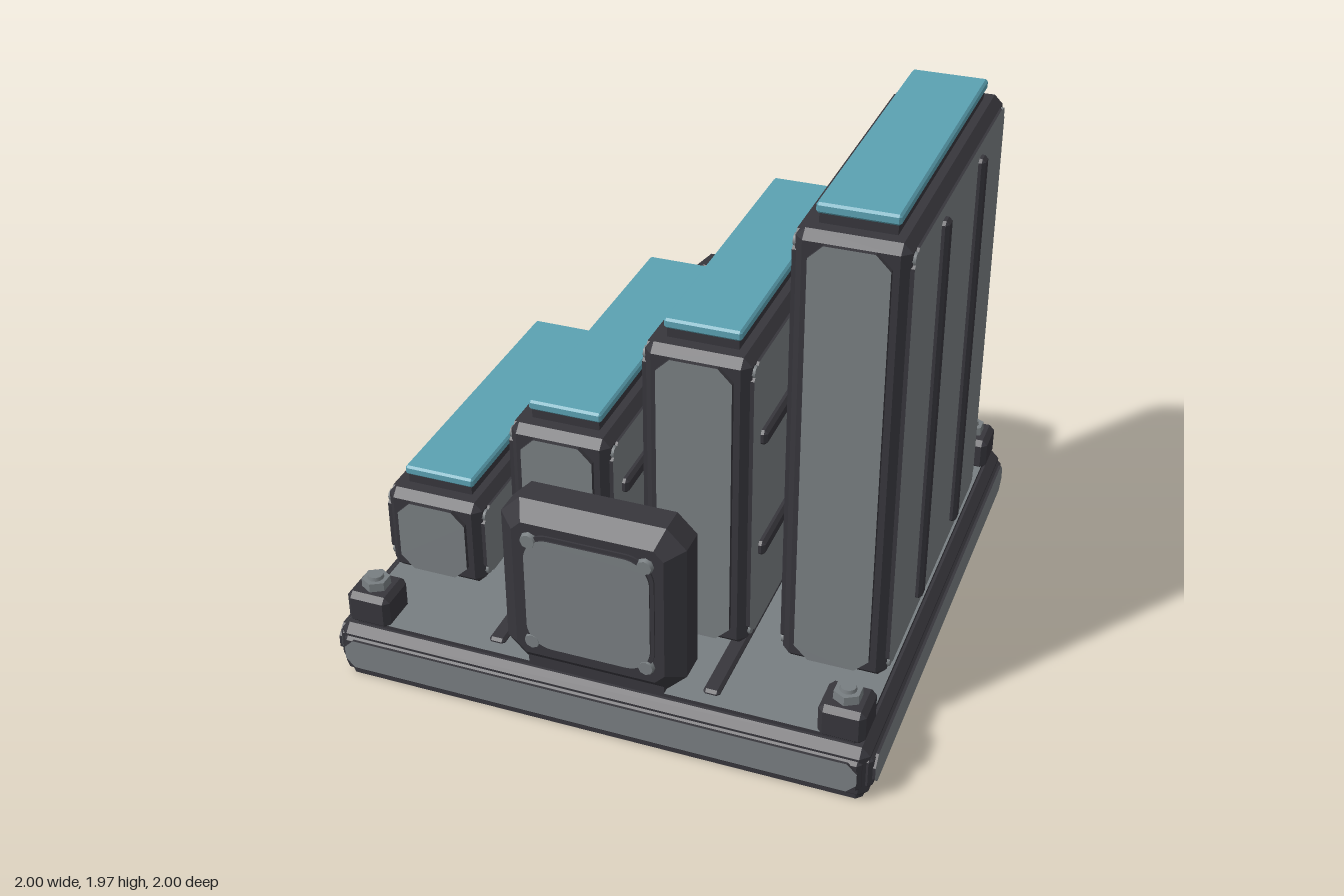
import * as THREE from 'three';
import { ConvexGeometry } from 'three/addons/geometries/ConvexGeometry.js';

const mat = (name, color) => Object.assign(new THREE.MeshStandardMaterial({ color }), { name });

export function createModel() {
  const dark = mat('dark frame', 0x37363c);
  const gray = mat('gray panel', 0x787e81);
  const teal = mat('teal cap', 0x5ba1b2);
  const model = new THREE.Group();
  model.name = 'steppedColumnMachine';

  function add(parent, name, geometry, material, x = 0, y = 0, z = 0) {
    const mesh = new THREE.Mesh(geometry, material);
    mesh.name = name;
    mesh.position.set(x, y, z);
    parent.add(mesh);
    return mesh;
  }

  function group(parent, name) {
    const g = new THREE.Group();
    g.name = name;
    parent.add(g);
    return g;
  }

  // Box with every edge cut at 45 degrees
  function chamferBox(w, h, d, c) {
    const pts = [];
    for (const sx of [-1, 1]) for (const sy of [-1, 1]) for (const sz of [-1, 1]) {
      const x = w / 2, y = h / 2, z = d / 2;
      pts.push(
        new THREE.Vector3(sx * x, sy * (y - c), sz * (z - c)),
        new THREE.Vector3(sx * (x - c), sy * y, sz * (z - c)),
        new THREE.Vector3(sx * (x - c), sy * (y - c), sz * z));
    }
    return new ConvexGeometry(pts);
  }

  // Corners of a rectangle with cut corners
  function octagon(w, h, c) {
    const x = w / 2, y = h / 2;
    return [[x - c, -y], [x, c - y], [x, y - c], [x - c, y],
      [c - x, y], [-x, y - c], [-x, c - y], [c - x, -y]].map(p => new THREE.Vector2(...p));
  }

  // Plate facing +z with cut corners, rising from z = 0
  const plate = (w, h, c, t) => new THREE.ExtrudeGeometry(
    new THREE.Shape(octagon(w, h, c)), { depth: t, bevelEnabled: false });
  const framed = [gray, dark];

  // ---- Base ----
  const base = group(model, 'base');
  add(base, 'baseFrame', chamferBox(1.96, 0.21, 1.96, 0.03), dark, 0, 0.113, 0);
  add(base, 'topPlate', plate(1.88, 1.88, 0.02, 0.025), framed, 0, 0.207, 0).rotation.x = -Math.PI / 2;
  add(base, 'bottomPlate', plate(1.92, 1.92, 0.02, 0.02), framed, 0, 0.02, 0).rotation.x = Math.PI / 2;
  for (let i = 0; i < 4; i++) {
    const side = group(base, 'baseSide');
    side.rotation.y = i * Math.PI / 2;
    add(side, 'sideTrim', chamferBox(1.92, 0.13, 0.05, 0.015), dark, 0, 0.117, 0.967);
    add(side, 'sidePanel', plate(1.9, 0.118, 0.035, 0.01), framed, 0, 0.117, 0.99);
  }
  for (const x of [-0.4, 0.4])
    add(base, 'deckStrip', chamferBox(0.06, 0.03, 1.78, 0.01), dark, x, 0.232, 0);

  // Corner blocks with hexagonal bolts
  for (const x of [-0.873, 0.873]) for (const z of [-0.87, 0.87]) {
    const corner = group(base, 'cornerBlock');
    corner.position.set(x, 0, z);
    add(corner, 'block', chamferBox(0.165, 0.13, 0.165, 0.02), dark, 0, 0.283, 0);
    const hex = new THREE.CylinderGeometry(0.05, 0.052, 0.035, 6).toNonIndexed();
    hex.computeVertexNormals();
    add(corner, 'boltHead', hex, gray, 0, 0.363, 0);
    add(corner, 'boltTip', new THREE.CylinderGeometry(0.027, 0.03, 0.014, 12), gray, 0, 0.387, 0);
  }

  // ---- Columns ----
  function column(x, top, ribs, vertical) {
    const g = group(model, 'column');
    g.position.x = x;
    const h = top - 0.25, mid = (top + 0.25) / 2;
    add(g, 'columnFoot', new THREE.BoxGeometry(0.27, 0.05, 1.16), dark, 0, 0.24, 0);
    add(g, 'columnFrame', chamferBox(0.37, h, 1.28, 0.03), dark, 0, mid, 0);
    add(g, 'columnNeck', new THREE.BoxGeometry(0.25, 0.05, 1.13), dark, 0, top + 0.015, 0);
    add(g, 'columnCap', chamferBox(0.27, 0.037, 1.15, 0.008), teal, 0, top + 0.052, 0);
    for (const s of [-1, 1]) {
      // End panel
      const end = group(g, 'columnEnd');
      end.rotation.y = s > 0 ? 0 : Math.PI;
      add(end, 'endPanel', plate(0.265, h - 0.06, 0.05, 0.025), framed, 0, mid, 0.632);
      // Broad side panel with rivets and ribs
      const side = group(g, 'columnSide');
      side.rotation.y = s * Math.PI / 2;
      add(side, 'broadPanel', plate(1.23, h - 0.06, 0.05, 0.02), framed, 0, mid, 0.174);
      for (const u of [-1, 1]) for (const v of [-1, 1]) {
        const rivet = add(side, 'rivet', new THREE.CylinderGeometry(0.022, 0.025, 0.014, 8),
          gray, u * 0.588, mid + v * (h / 2 - 0.057), 0.187);
        rivet.rotation.x = Math.PI / 2;
      }
      for (const r of ribs) {
        const size = vertical ? [0.06, h - 0.17] : [1.08, 0.056];
        add(side, 'rib', chamferBox(...size, 0.04, 0.012), dark,
          vertical ? r : 0, vertical ? mid + 0.008 : r, 0.197);
      }
    }
  }
  column(-0.755, 0.595, [], false);
  column(-0.25, 0.98, [0.48, 0.75], false);
  column(0.25, 1.4, [0.61, 1.06], false);
  column(0.75, 1.9, [-0.25, 0.25], true);

  // ---- Housings at front and back ----
  const shell = new ConvexGeometry(
    [[0.74, 0.22, 0.04], [0.83, 0.33, 0.07], [0.93, 0.33, 0.07], [0.985, 0.27, 0.035]]
      .flatMap(([z, r, c]) => octagon(r * 2, r * 2, c).map(p => new THREE.Vector3(p.x, p.y, z))));

  // Rounded square face
  function roundedSquare(r, k) {
    const s = new THREE.Shape();
    s.absarc(r - k, r - k, k, 0, Math.PI / 2);
    s.absarc(k - r, r - k, k, Math.PI / 2, Math.PI);
    s.absarc(k - r, k - r, k, Math.PI, Math.PI * 1.5);
    s.absarc(r - k, k - r, k, Math.PI * 1.5, Math.PI * 2);
    return s;
  }
  const facePlate = (r, k, t) => new THREE.ExtrudeGeometry(roundedSquare(r, k),
    { depth: t, bevelEnabled: false, curveSegments: 8 });

  for (const turn of [0, Math.PI]) {
    const housing = group(model, turn ? 'backHousing' : 'frontHousing');
    housing.position.y = 0.58;
    housing.rotation.y = turn;
    add(housing, 'housingShell', shell, dark);
    add(housing, 'housingFoot', new THREE.BoxGeometry(0.5, 0.04, 0.12), dark, 0, -0.338, 0.88);
    add(housing, 'faceRim', facePlate(0.238, 0.1, 0.008), dark, 0, 0, 0.984);
    add(housing, 'facePanel', facePlate(0.224, 0.09, 0.014), framed, 0, 0, 0.984);
    for (const x of [-0.207, 0.207]) for (const y of [-0.207, 0.207])
      add(housing, 'faceBolt', new THREE.CylinderGeometry(0.026, 0.032, 0.018, 8),
        gray, x, y, 0.991).rotation.x = Math.PI / 2;
    for (const x of [-0.09, 0.09])
      add(housing, 'innerRib', chamferBox(0.06, 0.34, 0.05, 0.012), dark, x, 0, 0.73);
  }

  return model;
}
